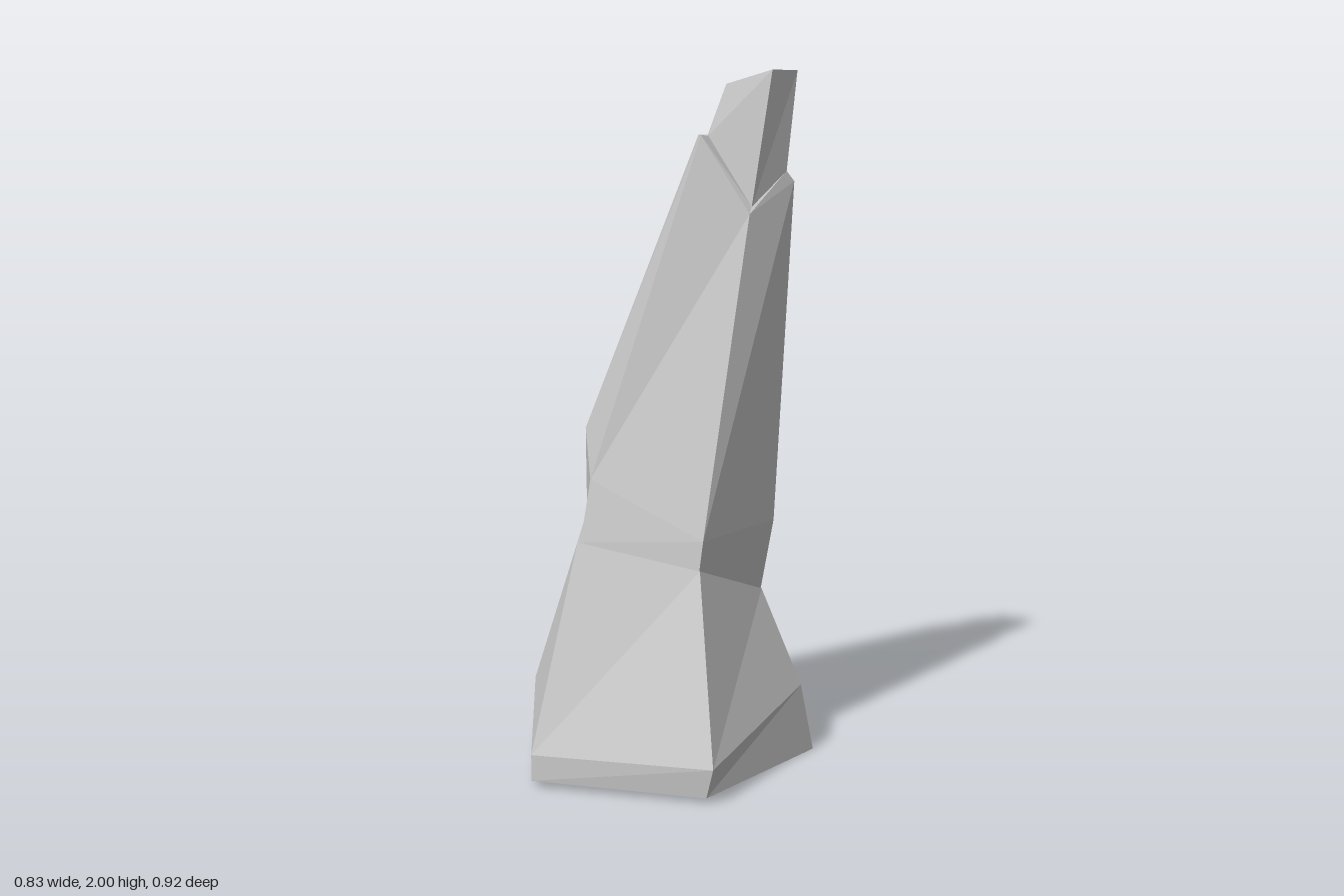
import * as THREE from 'three';

const material = new THREE.MeshStandardMaterial({ color: 0xcccccc, flatShading: true });

// Skins a stack of five-cornered rings, with optional end caps
function loft(name, rings, capBottom, capTop) {
  const pos = [];
  const tri = (a, b, c) => pos.push(...a, ...b, ...c);
  for (let r = 0; r < rings.length - 1; r++) {
    const lo = rings[r], hi = rings[r + 1];
    for (let i = 0; i < lo.length; i++) {
      const j = (i + 1) % lo.length;
      tri(lo[i], lo[j], hi[j]);
      tri(lo[i], hi[j], hi[i]);
    }
  }
  const first = rings[0], last = rings[rings.length - 1];
  for (let i = 1; i < first.length - 1; i++) {
    if (capBottom) tri(first[0], first[i + 1], first[i]);
    if (capTop) tri(last[0], last[i], last[i + 1]);
  }
  const geo = new THREE.BufferGeometry();
  geo.setAttribute('position', new THREE.Float32BufferAttribute(pos, 3));
  geo.computeVertexNormals();
  const mesh = new THREE.Mesh(geo, material);
  mesh.name = name;
  return mesh;
}

export function createModel() {
  // Corner order in every ring: front, right front, right back, back, left
  const foot = [[-0.07, 0.02, 0.46], [0.39, 0.015, 0.25], [0.345, 0, -0.325], [-0.1, 0.02, -0.46], [-0.415, 0.02, 0.07]];
  const skirt = [[-0.07, 0.095, 0.46], [0.413, 0.1, 0.25], [0.32, 0.2, -0.295], [-0.1, 0.1, -0.46], [-0.415, 0.17, 0.07]];
  const waist = [[-0.07, 0.67, 0.26], [0.247, 0.605, 0.1], [0.22, 0.49, -0.23], [-0.12, 0.53, -0.318], [-0.302, 0.655, -0.03]];
  // Narrow ledge inside the waist
  const neck = [[-0.07, 0.668, 0.247], [0.237, 0.602, 0.09], [0.218, 0.49, -0.228], [-0.12, 0.53, -0.317], [-0.293, 0.654, -0.035]];
  const shoulder = [[-0.07, 0.845, 0.203], [0.24, 0.685, 0.077], [0.225, 0.69, -0.28], [-0.125, 0.6, -0.32], [-0.306, 0.94, -0.045]];
  const rim = [[0.056, 1.815, -0.14], [0.188, 1.59, -0.2], [0.205, 1.68, -0.395], [0.03, 1.812, -0.406], [-0.05, 1.815, -0.265]];
  // Sloping ledge around the foot of the tip
  const ledge = [[0.052, 1.812, -0.18], [0.182, 1.61, -0.218], [0.195, 1.71, -0.37], [0.06, 1.815, -0.396], [-0.025, 1.815, -0.278]];
  const crown = [[0.077, 1.96, -0.232], [0.197, 2, -0.293], [0.2, 2, -0.412], [0.075, 1.985, -0.397], [0.012, 1.957, -0.315]];

  const group = new THREE.Group();
  group.name = 'rockSpire';
  group.add(
    loft('base', [foot, skirt, waist, neck], true, false),
    loft('shaft', [neck, shoulder, rim, ledge], false, false),
    loft('tip', [ledge, crown], false, true),
  );
  return group;
}
